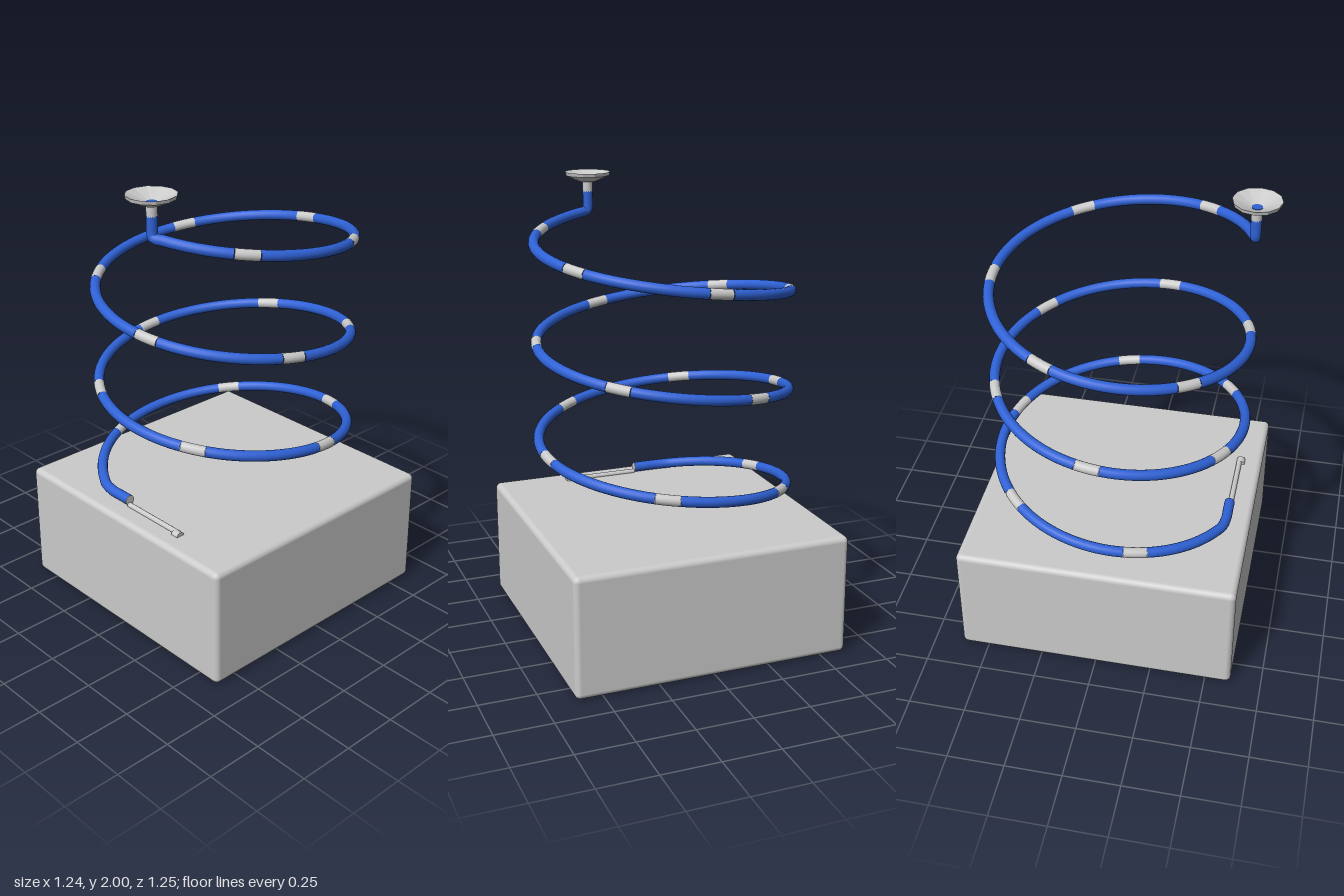
import * as THREE from 'three';
import { RoundedBoxGeometry } from 'three/addons/geometries/RoundedBoxGeometry.js';

const grey = new THREE.MeshStandardMaterial({ color: 0xcccccc });
const blue = new THREE.MeshStandardMaterial({ color: 0x2f62d6 });
const cupGrey = new THREE.MeshStandardMaterial({ color: 0xcccccc, flatShading: true, side: THREE.DoubleSide });

const R = 0.55, PITCH = 0.435, TUBE = 0.023;
const STEP = 1.107, FIRST_BAND = 1.265, BANDS = 16, HALF = 0.092;
const V = (x, y, z) => new THREE.Vector3(x, y, z);

// Point on the rising coil; angle 0 is at the front, turning towards -x
const coil = (a) => V(-R * Math.sin(a), 0.54 + (PITCH * a) / (2 * Math.PI), R * Math.cos(a) - 0.005);

function coilPoints(a0, a1) {
  const n = Math.max(3, Math.ceil((a1 - a0) / 0.09));
  return Array.from({ length: n + 1 }, (_, i) => coil(a0 + ((a1 - a0) * i) / n));
}

function mesh(name, geometry, material, position) {
  const m = new THREE.Mesh(geometry, material);
  m.name = name;
  if (position) m.position.copy(position);
  return m;
}

function tube(name, points, material) {
  const curve = new THREE.CatmullRomCurve3(points, false, 'centripetal');
  return mesh(name, new THREE.TubeGeometry(curve, points.length * 3, TUBE, 16), material);
}

function rod(name, x0, x1, y, z, radius) {
  const g = new THREE.CylinderGeometry(radius, radius, x1 - x0, 16).rotateZ(Math.PI / 2);
  return mesh(name, g, grey, V((x0 + x1) / 2, y, z));
}

export function createModel() {
  const model = new THREE.Group();
  model.name = 'coilOnBlock';

  // Base block with softened edges
  model.add(mesh('baseBlock', new RoundedBoxGeometry(1.236, 0.54, 1.236, 4, 0.025), grey, V(0, 0.27, -0.003)));

  // Coil: blue lengths separated by grey bands
  const coilGroup = new THREE.Group();
  coilGroup.name = 'coil';
  for (let i = 0; i < BANDS; i++) {
    const a = FIRST_BAND + i * STEP;
    coilGroup.add(tube('coilBand', coilPoints(a - HALF, a + HALF), grey));
    if (i < BANDS - 1) coilGroup.add(tube('coilLength', coilPoints(a + HALF, a + STEP - HALF), blue));
  }

  // Straight lower end, running into the first turn
  coilGroup.add(tube('lowerEnd', [
    V(-0.05, 0.566, 0.508), V(-0.1, 0.566, 0.508), V(-0.16, 0.566, 0.508),
    ...coilPoints(0.42, FIRST_BAND - HALF),
  ], blue));

  // Upper end, bending upright below the cup
  const lastBand = FIRST_BAND + (BANDS - 1) * STEP;
  const cx = 0.16, cz = 0.522;
  coilGroup.add(tube('upperEnd', [
    ...coilPoints(lastBand + HALF, 18.47),
    V(cx + 0.01, 1.823, cz), V(cx + 0.002, 1.832, cz), V(cx, 1.845, cz), V(cx, 1.88, cz), V(cx, 1.915, cz),
  ], blue));
  model.add(coilGroup);

  // Grey stem and its blue core, seen at the bottom of the cup
  model.add(mesh('stem', new THREE.CylinderGeometry(TUBE, TUBE, 0.055, 16), grey, V(cx, 1.9375, cz)));
  model.add(mesh('stemCore', new THREE.CylinderGeometry(TUBE, TUBE, 0.008, 16), blue, V(cx, 1.965, cz)));

  // Faceted funnel cup
  const cup = [[0.022, 1.955], [0.04, 1.957], [0.1, 1.984], [0.104, 2], [0.098, 1.998], [0.022, 1.966]]
    .map(([r, y]) => new THREE.Vector2(r, y));
  model.add(mesh('cup', new THREE.LatheGeometry(cup, 12), cupGrey, V(cx, 0, cz)));

  // Thin outlet rod lying on the block
  model.add(rod('lowerEndCap', -0.053, -0.049, 0.566, 0.508, TUBE * 0.98));
  model.add(rod('outletRod', -0.05, 0.27, 0.544, 0.511, 0.012));
  model.add(rod('outletTip', 0.255, 0.292, 0.537, 0.517, 0.02));

  return model;
}
